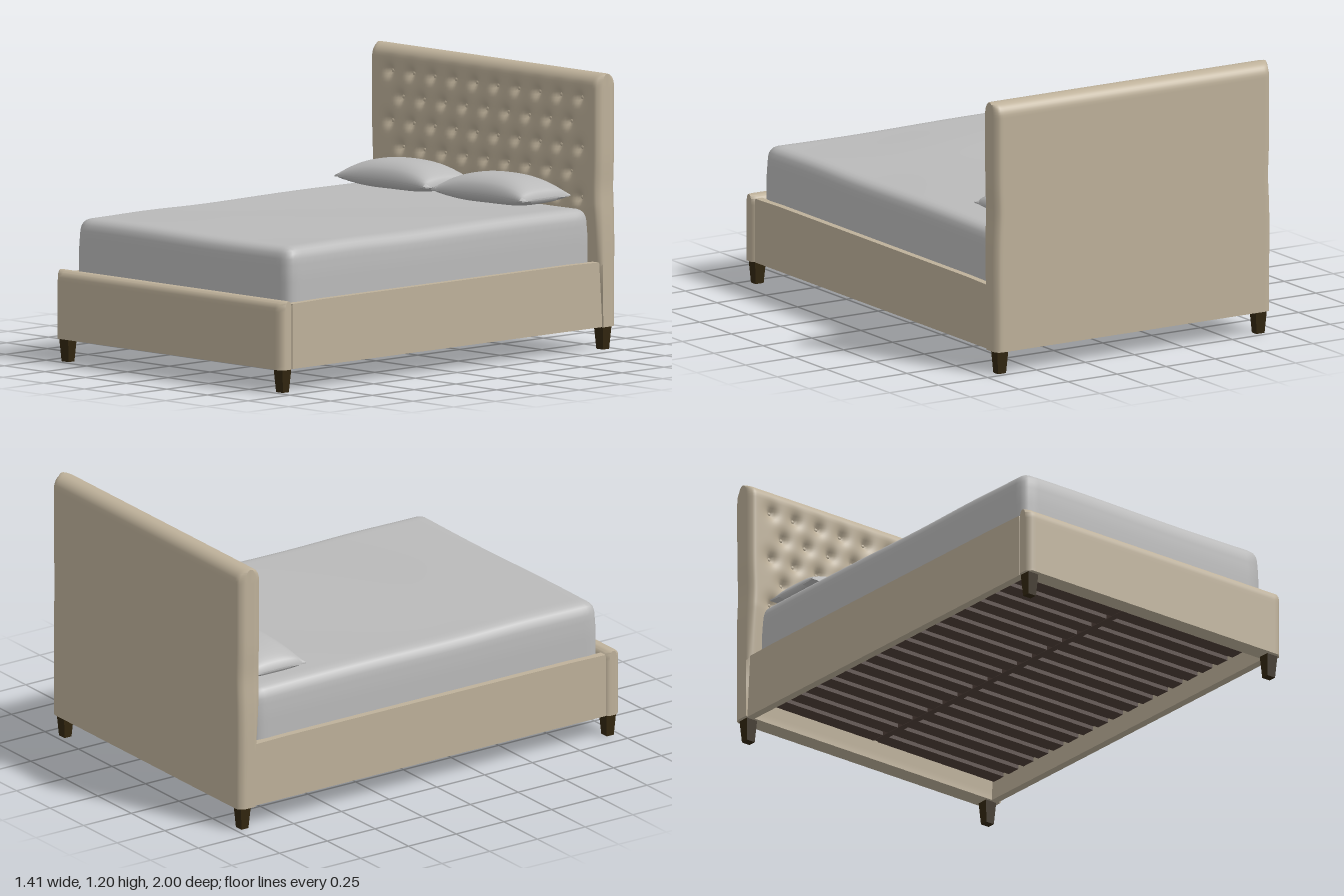
import * as THREE from 'three';
import { mergeVertices, toCreasedNormals } from 'three/addons/utils/BufferGeometryUtils.js';

const mat = (name, color) => Object.assign(new THREE.MeshStandardMaterial({ color }), { name });
const smooth = THREE.MathUtils.smoothstep;
const clamp = THREE.MathUtils.clamp;
const bump = (x, centre, width) => Math.exp(-(((x - centre) / width) ** 2));

// Move every vertex of a geometry by a rule, then rebuild its normals.
function shape(geo, rule, crease = 0.9) {
  const p = geo.attributes.position, v = new THREE.Vector3();
  for (let i = 0; i < p.count; i++) {
    rule(v.fromBufferAttribute(p, i));
    p.setXYZ(i, v.x, v.y, v.z);
  }
  geo.deleteAttribute('uv');
  geo.deleteAttribute('normal');
  return toCreasedNormals(mergeVertices(geo, 1e-5), crease);
}

// Upholstered board: rolled top edge, softened ends, square bottom.
function board(w, h, d, rTop, rEnd, sx, sy, extra = () => {}) {
  const hd = d / 2, inner = new THREE.Vector2(), dir = new THREE.Vector2();
  return shape(new THREE.BoxGeometry(w, h, d, sx, sy, 10), (v) => {
    if (v.y > h / 2 - rTop) {
      inner.set(h / 2 - rTop, clamp(v.z, rTop - hd, hd - rTop));
      dir.set(v.y - inner.x, v.z - inner.y).setLength(rTop);
      v.y = inner.x + dir.x;
      v.z = inner.y + dir.y;
    }
    const over = Math.max(0, Math.abs(v.x) - (w / 2 - rEnd));
    v.z *= (hd - rEnd + Math.sqrt(Math.max(0, rEnd * rEnd - over * over))) / hd;
    extra(v);
  });
}

// Staggered grid of tufting buttons
const STEP_X = 0.1295, STEP_Y = 0.108, TOP_ROW = 1.085;
const buttons = [];
for (let row = 0; row < 6; row++) {
  const n = 10 - (row % 2);
  for (let i = 0; i < n; i++) buttons.push([(i - (n - 1) / 2) * STEP_X, TOP_ROW - row * STEP_Y]);
}

// Depth of the padding at a point of the headboard's front
function tuft(x, y) {
  let z = 0;
  for (const [bx, by] of buttons) {
    const d2 = (x - bx) ** 2 + (y - by) ** 2;
    if (d2 < 0.015) z -= 0.016 * Math.exp(-d2 / 0.0004) + 0.014 * Math.exp(-d2 / 0.0016);
  }
  return z;
}

// Cushion: two domes that meet in a thin seam with pointed corners
function pillowGeometry(w, d) {
  return shape(new THREE.BoxGeometry(w, 0.006, d, 32, 1, 20), (v) => {
    const u = v.x / (w / 2), q = v.z / (d / 2);
    const full = Math.pow(Math.max(0, (1 - Math.abs(u) ** 2.8) * (1 - Math.abs(q) ** 2.8)), 0.58);
    v.y += v.y > 0 ? 0.078 * full : -0.045 * full;
    v.x *= 1 - 0.02 * (1 - q * q);
    v.z *= 1 - 0.04 * (1 - u * u);
    v.y += 0.004 * Math.sin(u * 2.5 + 1);
  });
}

export function createModel() {
  const fabric = mat('beige upholstery', 0xbeb19a);
  const linen = mat('grey linen', 0xbababa);
  const legWood = mat('dark leg wood', 0x32260f);
  const slatWood = mat('dark slat wood', 0x504039);
  const bed = new THREE.Group();
  bed.name = 'bed';

  const add = (name, geo, material, x, y, z, parent = bed) => {
    const mesh = new THREE.Mesh(geo, material);
    mesh.name = name;
    mesh.position.set(x, y, z);
    parent.add(mesh);
    return mesh;
  };
  const group = (name) => {
    const g = new THREE.Group();
    g.name = name;
    bed.add(g);
    return g;
  };

  // Tufted headboard, slightly waisted above the mattress and slimmer below it
  const headY = 0.648, headZ = -0.9425, halfDepth = 0.0575;
  const headGeo = board(1.406, 1.096, halfDepth * 2, 0.054, 0.03, 120, 88, (v) => {
    const y = v.y + headY;
    if (v.z > 0) {
      const front = smooth(v.z, 0.02, halfDepth);
      v.z += front * (tuft(v.x, y) - 0.035 * clamp((0.62 - y) / 0.5, 0, 1));
    }
    v.x *= 1 - 0.007 * bump(y, 0.7, 0.09) + 0.003 * bump(y, 0.45, 0.15);
  });
  add('headboard', headGeo, fabric, 0, headY, headZ);
  const buttonGroup = group('headboardButtons');
  const buttonGeo = new THREE.SphereGeometry(0.009, 12, 8);
  buttonGeo.scale(1, 1, 0.6);
  for (const [x, y] of buttons) add('button', buttonGeo, fabric, x, y, -0.913, buttonGroup);

  // Footboard
  const footGeo = board(1.402, 0.296, 0.08, 0.036, 0.022, 64, 20);
  add('footboard', footGeo, fabric, 0, 0.248, 0.96);

  // Side rails
  const railGeo = board(0.036, 0.285, 1.86, 0.012, 0.002, 4, 16);
  for (const side of [-1, 1]) add(side > 0 ? 'leftRail' : 'rightRail', railGeo, fabric, side * 0.673, 0.2425, 0);

  // Tapered legs
  const legGeo = shape(new THREE.BoxGeometry(0.056, 0.104, 0.052), (v) => {
    if (v.y < 0) { v.x *= 0.74; v.z *= 0.7; }
  }, 0.2);
  for (const x of [-0.66, 0.66]) {
    for (const z of [-0.957, 0.957]) add(z > 0 ? 'frontLeg' : 'backLeg', legGeo, legWood, x, 0.052, z);
  }

  // Slatted base with centre beam
  const base = group('slattedBase');
  const slatGeo = new THREE.BoxGeometry(0.64, 0.018, 0.068);
  for (let i = 0; i < 18; i++) {
    for (const side of [-1, 1]) add('slat', slatGeo, slatWood, side * 0.332, 0.188, -0.87 + i * 0.1015, base);
  }
  add('centreBeam', new THREE.BoxGeometry(0.03, 0.024, 1.8), slatWood, 0, 0.189, 0.005, base);
  add('basePanel', new THREE.BoxGeometry(1.31, 0.012, 1.8), slatWood, 0, 0.205, 0, base);

  // Mattress with rounded top edges, tucked corners and a softly uneven top
  const half = new THREE.Vector3(0.655, 0.2, 0.902), r = 0.05, core = new THREE.Vector3();
  const mattressGeo = shape(new THREE.BoxGeometry(1.31, 0.4, 1.804, 48, 16, 64), (v) => {
    core.set(
      clamp(v.x, r - half.x, half.x - r),
      clamp(v.y, r - half.y, half.y - r),
      clamp(v.z, r - half.z, half.z - r));
    v.sub(core).setLength(r).add(core);
    const low = 1 - smooth(v.y, 0.06, 0.19);
    v.x *= 1 + 0.008 * low;
    v.z *= 1 + 0.006 * low;
    if (v.y > 0) {
      const lift = v.y / half.y;
      v.y += lift * (0.003 * Math.sin(v.x * 5 + v.z * 4) + 0.007 * bump(v.z, 0.5, 0.25));
    }
  });
  add('mattress', mattressGeo, linen, 0, 0.415, 0.012);

  // Pillows
  const pillowGeo = pillowGeometry(0.56, 0.29);
  add('rightPillow', pillowGeo, linen, -0.327, 0.662, -0.73);
  add('leftPillow', pillowGeo, linen, 0.267, 0.662, -0.73);

  return bed;
}
